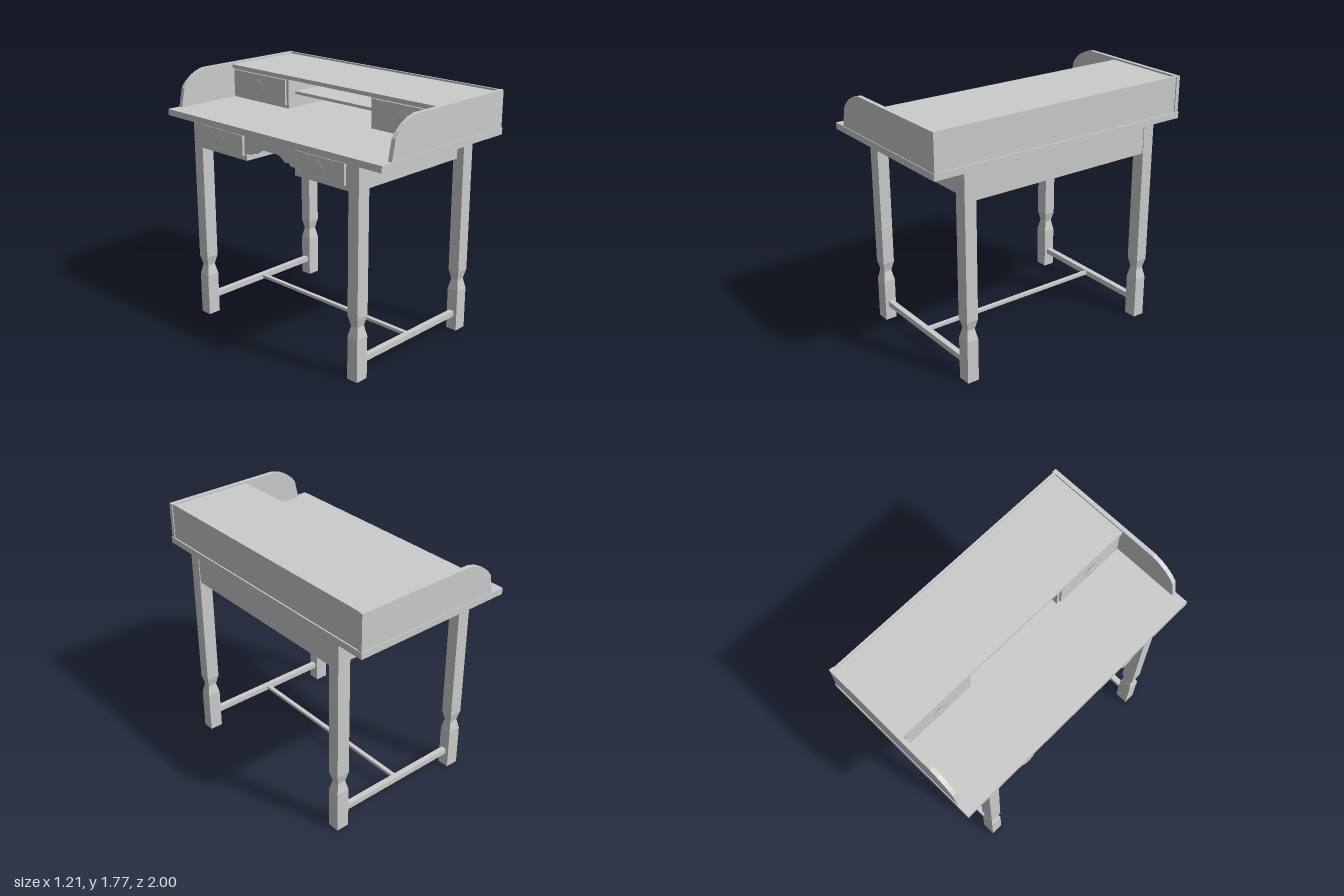
import * as THREE from 'three';

const mat = new THREE.MeshStandardMaterial({ color: 0xcccccc, flatShading: true, side: THREE.DoubleSide });
const smooth = new THREE.MeshStandardMaterial({ color: 0xcccccc });

export function createModel() {
  const desk = new THREE.Group();
  desk.name = 'writingDesk';

  const add = (name, geo, m = mat) => {
    const mesh = new THREE.Mesh(geo, m);
    mesh.name = name;
    desk.add(mesh);
    return mesh;
  };
  // Box given by its limits on each axis
  const box = (name, x0, x1, y0, y1, z0, z1) =>
    add(name, new THREE.BoxGeometry(x1 - x0, y1 - y0, Math.abs(z1 - z0)))
      .position.set((x0 + x1) / 2, (y0 + y1) / 2, (z0 + z1) / 2);
  const points = list => list.map(([a, b]) => new THREE.Vector2(a, b));

  // Round pull with a thin wide rim, pointing to -x
  const knobProfile = points([[0, 0], [0.018, 0], [0.018, 0.006], [0.055, 0.012], [0.05, 0.016], [0.02, 0.019], [0, 0.02]]);
  const knob = (name, x, y, z) => {
    const mesh = add(name, new THREE.LatheGeometry(knobProfile, 32), smooth);
    mesh.position.set(x, y, z);
    mesh.rotation.z = Math.PI / 2;
  };

  // Square leg with a pinched neck
  const legProfile = points([[0, 0], [1, 0], [1, 0.305], [0.67, 0.375], [0.67, 0.385], [1, 0.45], [1, 1.47], [0, 1.47]]);
  const legGeo = new THREE.LatheGeometry(legProfile, 4, Math.PI / 4);
  legGeo.scale(0.0475 * Math.SQRT2, 1, 0.0425 * Math.SQRT2);

  // End panel with a rounded front corner
  const panelShape = new THREE.Shape(points([
    [-0.51, 1.515], [-0.48, 1.65], [-0.453, 1.685], [-0.405, 1.725],
    [-0.35, 1.753], [-0.29, 1.77], [0.597, 1.77], [0.597, 1.515]]));
  const panelGeo = new THREE.ExtrudeGeometry(panelShape, { depth: 0.03, bevelEnabled: false });

  for (const s of [-1, 1]) {
    for (const x of [-0.508, 0.538]) add('leg', legGeo).position.set(x, 0, s * 0.737);
    box('endApron', -0.46, 0.49, 1.27, 1.47, s * 0.70, s * 0.725);
    box('endStretcher', -0.46, 0.49, 0.105, 0.145, s * 0.715, s * 0.755);
    add('endPanel', panelGeo).position.z = s > 0 ? 0.965 : -0.995;

    // Drawers below the desktop
    box('lowerDrawerBox', -0.555, -0.09, 1.28, 1.47, s * 0.23, s * 0.695);
    box('lowerDrawerFront', -0.574, -0.555, 1.313, 1.455, s * 0.25, s * 0.675);
    knob('lowerKnob', -0.574, 1.385, s * 0.46);

    // Drawers above the desktop
    box('upperDrawerBox', -0.01, 0.575, 1.515, 1.73, s * 0.39, s * 0.965);
    box('upperDrawerFront', -0.025, -0.01, 1.535, 1.72, s * 0.41, s * 0.95);
    knob('upperKnob', -0.025, 1.635, s * 0.675);
  }

  // Desktop and upper case
  box('desktop', -0.605, 0.6, 1.47, 1.515, -1, 1);
  box('backPanel', 0.575, 0.59, 1.515, 1.77, -0.965, 0.965);
  box('topShelf', -0.03, 0.575, 1.73, 1.757, -0.965, 0.965);
  box('middleShelf', 0.06, 0.575, 1.61, 1.63, -0.39, 0.39);

  // Rear apron and long stretcher
  box('rearApron', 0.555, 0.58, 1.27, 1.47, -0.695, 0.695);
  box('longStretcher', 0, 0.03, 0.115, 0.137, -0.715, 0.715);

  // Scalloped valance between the lower drawers
  const half = [[0.23, 1.33], [0.19, 1.33], [0.17, 1.35], [0.14, 1.345], [0.115, 1.36], [0.09, 1.38], [0.05, 1.385]];
  const valance = new THREE.Shape(points([
    [-0.23, 1.47], ...half.map(([z, y]) => [-z, y]), ...half.slice().reverse(), [0.23, 1.47]]));
  const mesh = add('valance', new THREE.ExtrudeGeometry(valance, { depth: 0.02, bevelEnabled: false }));
  mesh.rotation.y = -Math.PI / 2;
  mesh.position.x = -0.535;

  return desk;
}
